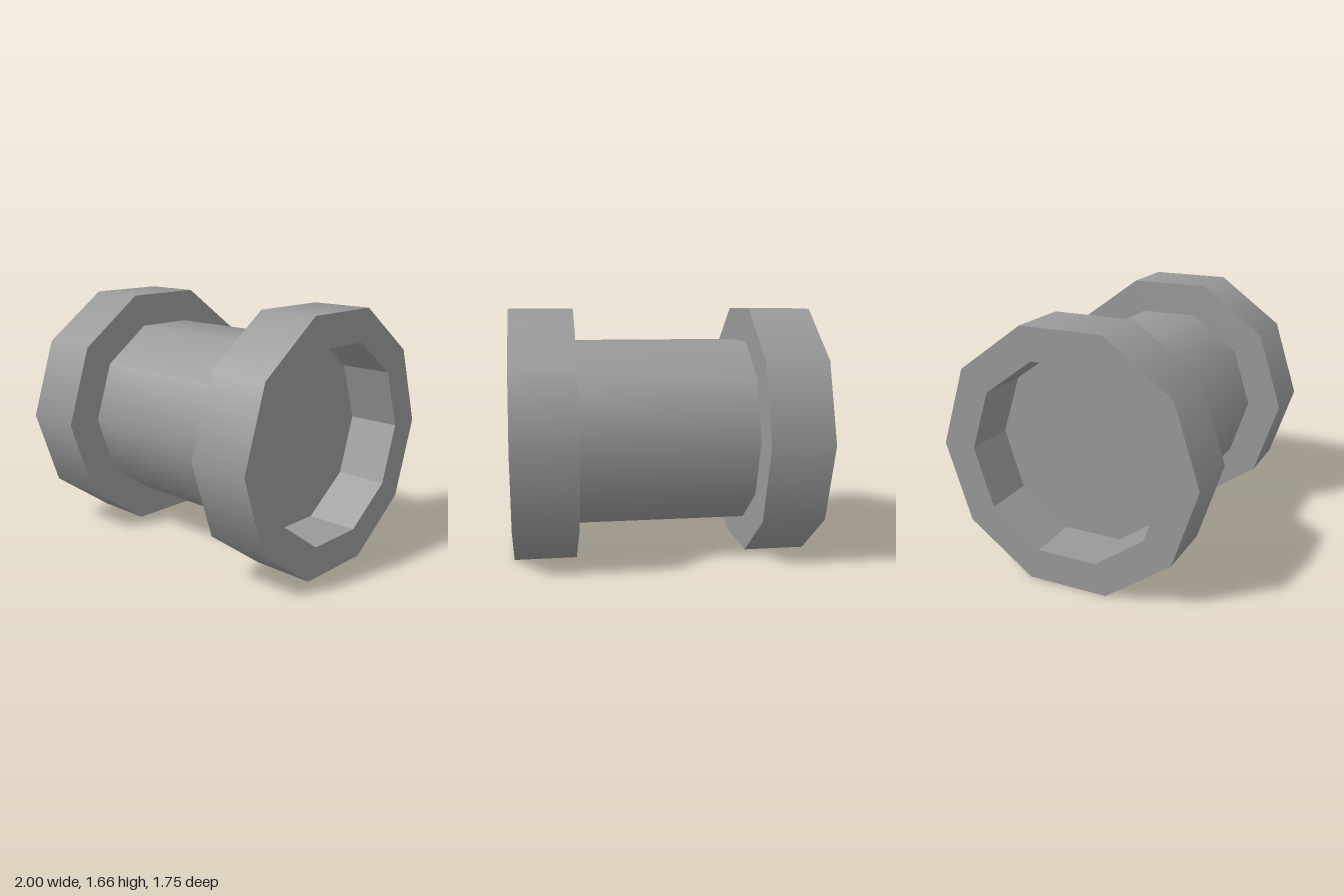
import * as THREE from 'three';

const SIDES = 10;
const OUTER = 0.875, BARREL = 0.643, RECESS = 0.655;
const INNER_X = 0.585, FLOOR_X = 0.65, END_X = 1;

const GREY = 0x999999;
const smooth = new THREE.MeshStandardMaterial({ color: GREY });
const faceted = new THREE.MeshStandardMaterial({ color: GREY, flatShading: true });
const inside = new THREE.MeshStandardMaterial({ color: GREY, flatShading: true, side: THREE.BackSide });

function part(name, geometry, material) {
  const mesh = new THREE.Mesh(geometry, material);
  mesh.name = name;
  return mesh;
}

// Open ten-sided sleeve along x, with corners at +z and -z
function sleeve(radius, x0, x1) {
  return new THREE.CylinderGeometry(radius, radius, x1 - x0, SIDES, 1, true)
    .rotateZ(-Math.PI / 2)
    .translate((x0 + x1) / 2, 0, 0);
}

// Ten-sided flat ring facing along x (facing = 1 or -1)
function ring(inner, x, facing) {
  return new THREE.RingGeometry(inner, OUTER, SIDES, 1)
    .rotateY(facing * Math.PI / 2)
    .translate(x, 0, 0);
}

// Thick end collar with a recessed pocket
function collar(name) {
  const group = new THREE.Group();
  group.name = name;
  group.add(
    part('collarRim', sleeve(OUTER, INNER_X, END_X), smooth),
    part('collarOuterFace', ring(RECESS, END_X, 1), faceted),
    part('collarInnerFace', ring(BARREL, INNER_X, -1), faceted),
    part('recessWall', sleeve(RECESS, FLOOR_X, END_X), inside),
    part('recessFloor', new THREE.CircleGeometry(RECESS, SIDES)
      .rotateY(Math.PI / 2).translate(FLOOR_X, 0, 0), faceted)
  );
  return group;
}

export function createModel() {
  const model = new THREE.Group();
  model.name = 'spool';

  const left = collar('leftCollar');
  const right = collar('rightCollar');
  right.rotation.y = Math.PI;
  model.add(left, right, part('barrel', sleeve(BARREL, -INNER_X, INNER_X), smooth));

  // Rest on a flat side
  const height = OUTER * Math.cos(Math.PI / SIDES);
  for (const child of model.children) child.position.y = height;
  return model;
}
